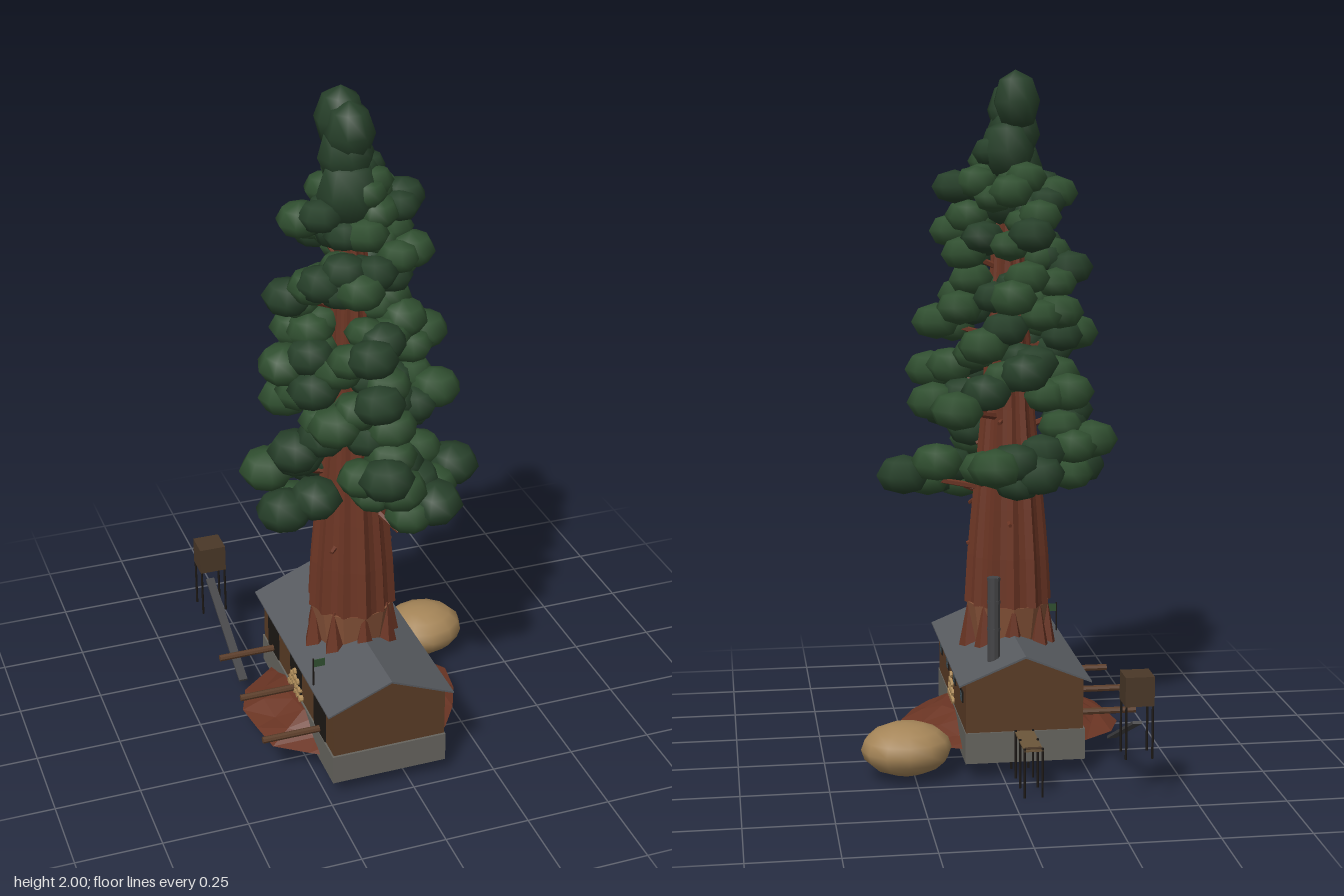
import * as THREE from 'three';

const mat = (color, flatShading = true) => new THREE.MeshStandardMaterial({ color, flatShading, side: THREE.DoubleSide });
const M = {
  bark: mat(0x6b3524), cut: mat(0x855238), wall: mat(0x5a3c26), stone: mat(0x66645e), roof: mat(0x585b60),
  dark: mat(0x1c1815), iron: mat(0x444446), wood: mat(0x4a3828), beam: mat(0x5a3c28), deck: mat(0x6b563a), logEnd: mat(0xb08d5a),
  boulder: mat(0xa58558, false), leafA: mat(0x27402a, false), leafB: mat(0x304f30, false), glass: mat(0x3d4a50),
};
const CX = -0.06, CZ = 0.125; // tree axis

export function createModel() {
  const root = new THREE.Group();
  const group = (name) => {
    const g = new THREE.Group();
    g.name = name;
    root.add(g);
    return g;
  };
  const add = (parent, name, geo, m, x = 0, y = 0, z = 0) => {
    const mesh = new THREE.Mesh(geo, m);
    mesh.name = name;
    mesh.position.set(x, y, z);
    parent.add(mesh);
    return mesh;
  };
  const box = (p, name, m, w, h, d, x, y, z) => add(p, name, new THREE.BoxGeometry(w, h, d), m, x, y, z);
  // Rod between two points
  const rod = (p, name, m, a, b, r0, r1 = r0, sides = 6) => {
    const A = new THREE.Vector3(...a), B = new THREE.Vector3(...b), d = B.clone().sub(A);
    const mesh = add(p, name, new THREE.CylinderGeometry(r1, r0, d.length(), sides), m);
    mesh.position.copy(A).addScaledVector(d, 0.5);
    mesh.quaternion.setFromUnitVectors(new THREE.Vector3(0, 1, 0), d.normalize());
    return mesh;
  };
  let seed = 7;
  const rnd = () => (seed = (seed * 16807) % 2147483647) / 2147483647;

  // Mill house: foundation, gabled walls and two roof slopes
  const house = group('millHouse');
  box(house, 'foundation', M.stone, 0.345, 0.09, 0.672, -0.0625, 0.093, 0.129);
  const extrudeZ = (pts, depth) => new THREE.ExtrudeGeometry(
    new THREE.Shape(pts.map(([x, y]) => new THREE.Vector2(x, y))), { depth, bevelEnabled: false });
  add(house, 'walls', extrudeZ([[-0.23, 0.138], [0.108, 0.138], [0.108, 0.29], [CX, 0.355], [-0.23, 0.29]], 0.66), M.wall, 0, 0, -0.202);
  add(house, 'roof', extrudeZ([[-0.25, 0.28], [CX, 0.358], [0.13, 0.28], [0.13, 0.285], [CX, 0.364], [-0.25, 0.285]], 0.7), M.roof, 0, 0, -0.228);
  for (const z of [0.375, 0.21, 0.045, -0.125]) {
    box(house, 'windowFrame', M.dark, 0.006, 0.032, 0.044, 0.109, 0.226, z);
    for (const s of [-1, 1]) box(house, 'windowPane', M.glass, 0.003, 0.01, 0.034, 0.112, 0.226 + s * 0.007, z);
  }

  // Open bays on the right-hand wall, each with a projecting beam
  for (const z of [-0.1, 0.12, 0.34]) {
    box(house, 'bayOpening', M.dark, 0.006, 0.12, 0.1, -0.231, 0.2, z);
    rod(house, 'haulBeam', M.beam, [-0.405, 0.155, z], [-0.2, 0.155, z], 0.01, 0.01, 8);
  }

  // Log stack whose ends show through both walls
  for (let row = 0; row < 4; row++) {
    const n = [5, 4, 3, 1][row];
    for (let i = 0; i < n; i++) {
      const z = 0.125 + (i - (n - 1) / 2) * 0.025, y = 0.15 + row * 0.022;
      rod(house, 'stackedLog', M.logEnd, [-0.242, y, z], [0.115, y, z], 0.01, 0.01, 8);
    }
  }

  // Smoke stack with bands
  const stack = group('smokeStack');
  rod(stack, 'pipe', M.iron, [0.018, 0.31, -0.125], [0.018, 0.572, -0.125], 0.018, 0.018, 10);
  for (const y of [0.42, 0.5, 0.567])
    add(stack, 'band', new THREE.CylinderGeometry(0.0195, 0.0195, 0.008, 10), M.iron, 0.018, y, -0.125);

  // Flag beside the eave
  const flag = group('flag');
  rod(flag, 'pole', M.dark, [-0.24, 0.27, 0.31], [-0.24, 0.378, 0.31], 0.0025);
  box(flag, 'cloth', M.leafB, 0.034, 0.024, 0.003, -0.222, 0.362, 0.31);

  // Trestle running out of the back wall
  const trestle = group('trestle');
  box(trestle, 'deck', M.deck, 0.054, 0.005, 0.5, -0.059, 0.136, -0.128);
  for (const x of [-0.084, -0.034]) {
    for (let i = 0; i < 7; i++)
      rod(trestle, 'post', M.dark, [x, 0, 0.125 - i * 0.0833], [x, 0.143, 0.125 - i * 0.0833], 0.0035);
  }
  box(trestle, 'endStop', M.wood, 0.046, 0.008, 0.012, -0.059, 0.138, -0.366);

  // Water tank on legs, with a sloping chute
  const tank = group('waterTower');
  box(tank, 'tank', M.wood, 0.081, 0.083, 0.081, -0.337, 0.322, -0.432);
  for (const sx of [-1, 1]) for (const sz of [-1, 1])
    rod(tank, 'leg', M.dark, [-0.337 + sx * 0.037, 0.13, -0.432 + sz * 0.036], [-0.337 + sx * 0.037, 0.29, -0.432 + sz * 0.036], 0.0035);
  const chute = box(tank, 'chute', M.iron, 0.026, 0.008, 0.387, -0.337, 0.147, -0.262);
  chute.rotation.x = Math.atan2(0.157, 0.355);

  // Boulder
  add(root, 'boulder', new THREE.SphereGeometry(1, 12, 8), M.boulder, 0.274, 0.087, -0.155).scale.set(0.13, 0.076, 0.11);

  // Root mound: a low frustum with a jagged rim
  const mound = new THREE.CylinderGeometry(0.2, 0.325, 0.065, 18, 2);
  const mp = mound.attributes.position;
  for (let i = 0; i < mp.count; i++) {
    const a = Math.atan2(mp.getZ(i), mp.getX(i));
    const k = 1 + 0.04 * Math.cos(a * 7 + 0.6) + 0.03 * Math.cos(a * 9);
    mp.setX(i, mp.getX(i) * k);
    mp.setZ(i, mp.getZ(i) * k * 0.9);
    if (Math.abs(mp.getY(i)) < 0.01) mp.setY(i, 0.008 * Math.sin(a * 8) - 0.008);
  }
  add(root, 'rootMound', mound, M.bark, CX, 0.102, 0.115);

  // Fluted trunk, tapering by a radius profile
  const tree = group('tree');
  const prof = [[0.4, 0.124], [0.6, 0.113], [0.8, 0.095], [1, 0.075], [1.4, 0.052], [1.7, 0.033], [1.9, 0.01]];
  const radius = (y) => {
    let i = 0;
    while (i < prof.length - 2 && y > prof[i + 1][0]) i++;
    const [[y0, r0], [y1, r1]] = [prof[i], prof[i + 1]];
    return r0 + (r1 - r0) * (y - y0) / (y1 - y0);
  };
  const trunk = new THREE.CylinderGeometry(1, 1, 1.46, 36, 10);
  const tp = trunk.attributes.position;
  for (let i = 0; i < tp.count; i++) {
    const y = tp.getY(i) + 1.17, a = Math.atan2(tp.getZ(i), tp.getX(i));
    const r = radius(y) * (1 + 0.07 * Math.cos(a * 12) + 0.03 * Math.sin(a * 5));
    tp.setXYZ(i, tp.getX(i) * r, y, tp.getZ(i) * r);
  }
  add(tree, 'trunk', trunk, M.bark, CX, 0, CZ);

  // Pale cut at the foot, flanked by pointed bark buttresses
  add(tree, 'paleCut', new THREE.CylinderGeometry(0.124, 0.1, 0.16, 12), M.cut, CX, 0.362, CZ);
  for (let i = 0; i < 8; i++) {
    const c = Math.cos(i * Math.PI / 4), s = Math.sin(i * Math.PI / 4);
    rod(tree, 'buttress', M.bark, [CX + 0.112 * c, 0.3, CZ + 0.112 * s], [CX + 0.115 * c, 0.45, CZ + 0.115 * s], 0.036, 0.004, 5);
  }

  // Dead stubs and knots on the lower trunk
  for (let i = 0; i < 12; i++) {
    const a = i * 2.4, y = 0.62 + i * 0.037, r = radius(y), l = i % 4 === 3 ? 0.06 : 0.012, c = Math.cos(a), s = Math.sin(a);
    rod(tree, 'stub', M.bark, [CX + c * r * 0.8, y + l * 0.5, CZ + s * r * 0.8], [CX + c * (r + l), y - l * 0.3, CZ + s * (r + l)], 0.01, 0.006, 5);
  }

  // Boughs: a limb to each tip, with flattened leaf clumps along it
  const tips = [
    [0.25, 0.83, 0.12], [0.14, 0.8, 0.27], [-0.31, 0.92, 0.13], [-0.29, 0.83, 0.22], [-0.05, 0.97, 0.39], [0.01, 0.9, 0.33],
    [-0.13, 0.84, 0], [0, 0.87, -0.04], [0.17, 1.06, 0.03], [0.16, 1.13, 0.2], [0.12, 1.05, -0.1], [-0.25, 1, 0.2],
    [-0.22, 1.08, 0.02], [-0.16, 1.1, 0.28], [0, 1.07, 0.28], [-0.08, 1.15, -0.07], [-0.26, 1.24, 0.14], [-0.05, 1.17, 0.33],
    [0.15, 1.28, 0.13], [0.03, 1.22, 0], [-0.2, 1.19, 0.22], [-0.07, 1.31, 0.33], [-0.2, 1.31, 0.06], [0.07, 1.35, 0.18],
    [-0.05, 1.36, -0.03], [-0.24, 1.43, 0.12], [-0.08, 1.48, 0.26], [0.07, 1.48, 0.1], [-0.1, 1.54, -0.06],
    [0.1, 1.54, 0.16], [-0.17, 1.49, 0.2], [-0.2, 1.65, 0.12], [0.1, 1.67, 0.09], [-0.05, 1.62, 0.21], [-0.05, 1.66, 0], [-0.01, 1.74, 0.14],
  ];
  const clumpGeo = new THREE.SphereGeometry(1, 8, 4);
  const clump = (x, y, z, r, h) => {
    const c = add(tree, 'leafClump', clumpGeo, rnd() < 0.5 ? M.leafA : M.leafB, x, y, z);
    c.scale.set(r, h, r);
    c.rotation.set((rnd() - 0.5) * 0.2, rnd() * 6, (rnd() - 0.5) * 0.2);
  };
  for (const [x, y, z] of tips) {
    const r = 0.083 - (y - 0.8) * 0.018, dx = CX - x, dz = CZ - z, len = Math.hypot(dx, dz);
    // Clump at a fraction t of the way in and a sideways offset s
    const along = (t, s, up, k) => clump(x + dx * t - dz / len * s, y + up, z + dz * t + dx / len * s, r * k, r * k * 0.72);
    rod(tree, 'limb', M.bark, [CX, y - 0.06, CZ], [x, y, z], 0.012, 0.006, 5);
    along(0, 0, 0, 1);
    along(0.3, 0.045, 0.01 + rnd() * 0.045, 0.95);
    along(0.25, -0.048, -0.04 * rnd(), 0.88);
    if (y > 1.1) along(0.5, 0.01, 0.03, 0.8);
  }

  // Crown tip
  clump(-0.075, 1.72, 0.15, 0.09, 0.1);
  clump(-0.04, 1.63, 0.1, 0.065, 0.075);
  clump(-0.1, 1.6, 0.09, 0.055, 0.06);
  clump(-0.05, 1.77, 0.09, 0.08, 0.09);
  clump(-0.075, 1.82, 0.13, 0.078, 0.09);
  clump(-0.07, 1.885, 0.145, 0.07, 0.088);
  clump(-0.08, 1.91, 0.095, 0.07, 0.09);
  return root;
}
